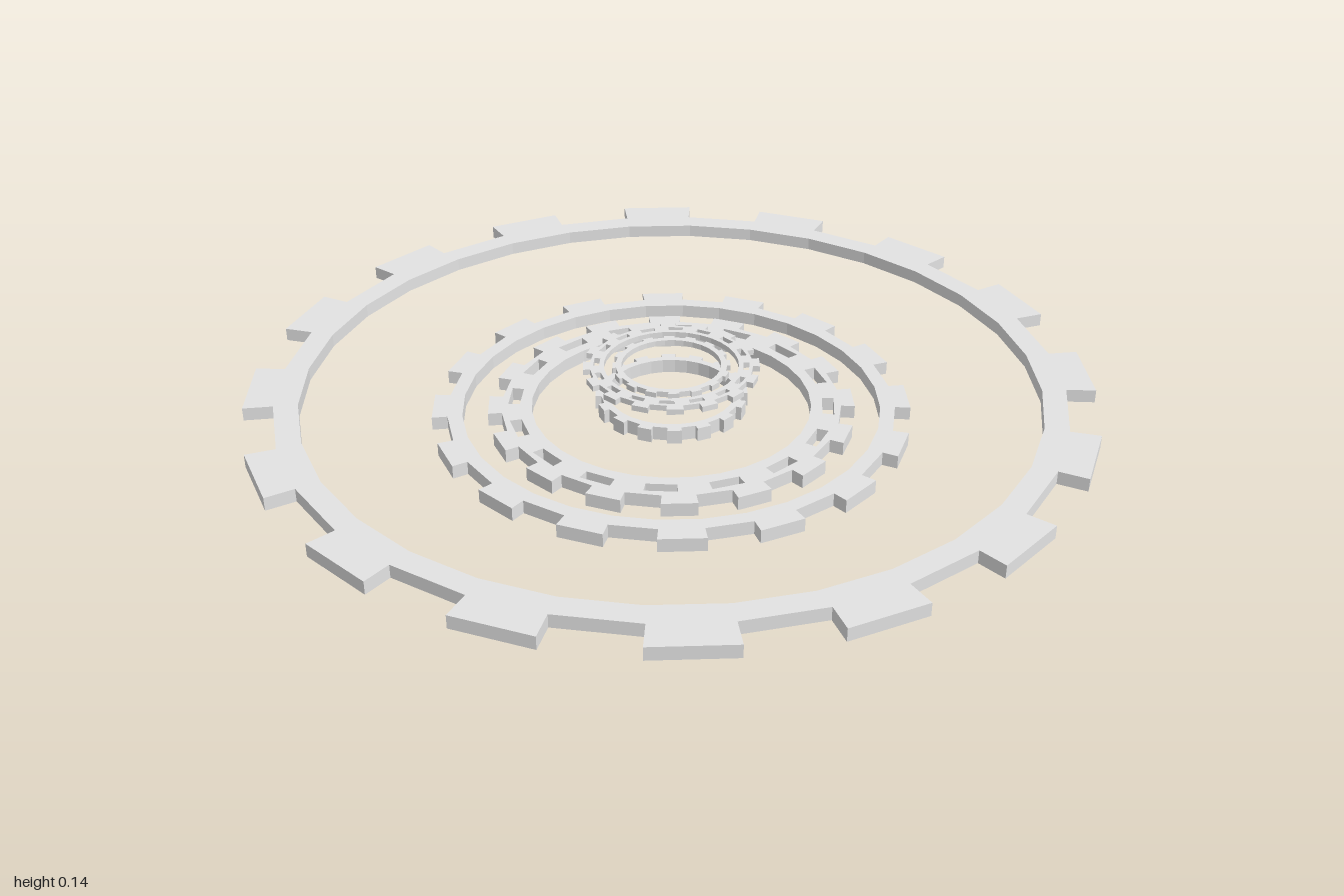
import * as THREE from 'three';

const TEETH = 16;
const STEP = (Math.PI * 2) / TEETH;

// Point on a circle, measured clockwise from the back when seen from above
const polar = (r, a) => new THREE.Vector2(r * Math.sin(a), r * Math.cos(a));

// Holes run against the clockwise outline so their walls face inwards
const hole = (points) => new THREE.Path(points.reverse());

// Flat toothed ring; slots are optional [inner radius, outer radius]
function gearRing(name, material, { tip, root, inner, y0, y1, slots }) {
  const outline = [];
  const bore = [];
  for (let i = 0; i < TEETH; i++) {
    const a = i * STEP;
    const b = a + STEP * 0.48;
    outline.push(polar(root, a), polar(tip, a), polar(tip, b), polar(root, b));
    bore.push(polar(inner, a), polar(inner, a + STEP / 2));
  }
  const shape = new THREE.Shape(outline);
  shape.holes.push(hole(bore));

  // Slots bridge the trailing edge of each tooth
  if (slots) {
    for (let i = 0; i < TEETH; i++) {
      const a = (i + 0.25) * STEP;
      const b = (i + 0.75) * STEP;
      shape.holes.push(hole([
        polar(slots[0], a), polar(slots[1], a), polar(slots[1], b), polar(slots[0], b),
      ]));
    }
  }

  const geometry = new THREE.ExtrudeGeometry(shape, { depth: y1 - y0, bevelEnabled: false });
  geometry.rotateX(-Math.PI / 2);
  geometry.translate(0, y0, 0);
  const mesh = new THREE.Mesh(geometry, material);
  mesh.name = name;
  return mesh;
}

export function createModel() {
  const group = new THREE.Group();
  group.name = 'concentricGears';
  const grey = new THREE.MeshStandardMaterial({ color: 0xe3e3e3 });
  grey.name = 'light grey';

  const rings = {
    outerRing: { tip: 1.0, root: 0.93, inner: 0.873, y0: 0.061, y1: 0.093 },
    middleRing: { tip: 0.57, root: 0.533, inner: 0.498, y0: 0, y1: 0.033 },
    slottedRing: { tip: 0.438, root: 0.405, inner: 0.334, y0: 0, y1: 0.033, slots: [0.362, 0.39] },
    hub: { tip: 0.182, root: 0.168, inner: 0.152, y0: 0.027, y1: 0.061 },
    upperSlottedRing: { tip: 0.21, root: 0.193, inner: 0.16, y0: 0.121, y1: 0.135, slots: [0.171, 0.185] },
    upperInnerRing: { tip: 0.14, root: 0.132, inner: 0.118, y0: 0.121, y1: 0.135 },
  };
  for (const [name, spec] of Object.entries(rings)) group.add(gearRing(name, grey, spec));

  return group;
}
